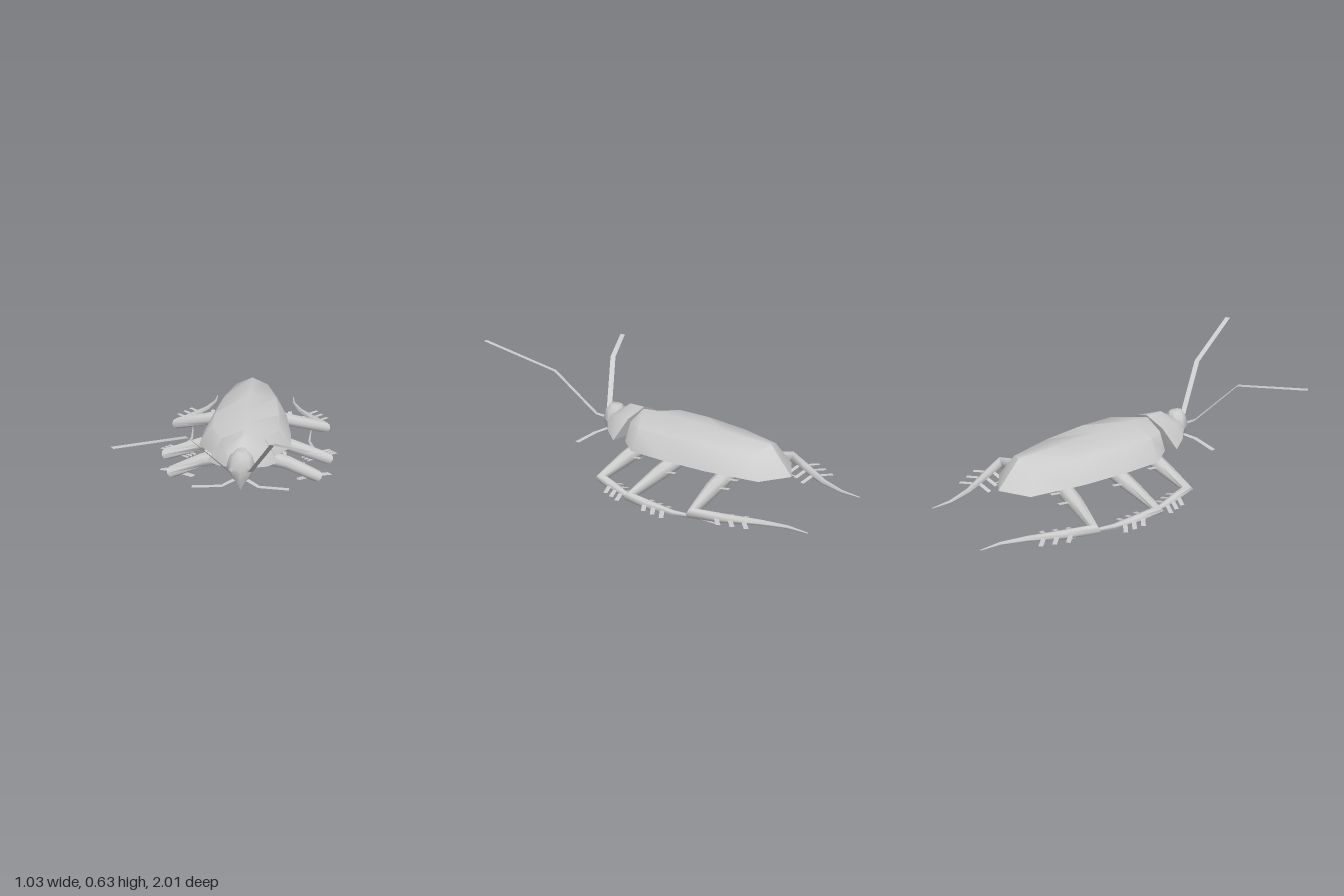
import * as THREE from 'three';
import { toCreasedNormals } from 'three/addons/utils/BufferGeometryUtils.js';

const CX = 0.025; // the body's midline
const V = (x, y, z) => new THREE.Vector3(x, y, z);
const solid = new THREE.MeshStandardMaterial({ color: 0xcccccc });
const thin = new THREE.MeshStandardMaterial({ color: 0xcccccc, side: THREE.DoubleSide });

function add(parent, name, geometry, material = solid) {
  const mesh = new THREE.Mesh(geometry, material);
  mesh.name = name;
  parent.add(mesh);
}

// Skin over closed rings of points, capped at both ends
function loft(rings, crease) {
  const n = rings[0].length;
  const index = [];
  for (let i = 0; i < rings.length - 1; i++) {
    for (let j = 0; j < n; j++) {
      const a = i * n + j, b = i * n + (j + 1) % n;
      index.push(a, a + n, b, b, a + n, b + n);
    }
  }
  const last = (rings.length - 1) * n;
  for (let j = 1; j < n - 1; j++) {
    index.push(0, j, j + 1, last, last + j + 1, last + j);
  }
  const g = new THREE.BufferGeometry().setFromPoints(rings.flat());
  g.setIndex(index);
  return toCreasedNormals(g, crease);
}

// Six-sided shell section: low edge, shoulder and ridge, mirrored, with a floor point
function shellRing([zEdge, yEdge, wEdge, zMid, yMid, wMid, zTop, yTop, zFloor, yFloor]) {
  return [
    V(CX, yFloor, zFloor), V(CX + wEdge, yEdge, zEdge), V(CX + wMid, yMid, zMid),
    V(CX, yTop, zTop), V(CX - wMid, yMid, zMid), V(CX - wEdge, yEdge, zEdge),
  ];
}

// Tapering round limb through points, mitred at the bends
function limb(points, radii, sides = 8) {
  const rings = points.map((p, i) => {
    const before = points[Math.max(i - 1, 0)], after = points[Math.min(i + 1, points.length - 1)];
    const dirIn = p.clone().sub(before).normalize(), dirOut = after.clone().sub(p).normalize();
    const t = dirIn.add(dirOut).normalize();
    const u = V(0, 1, 0).addScaledVector(t, -t.y).normalize();
    const v = u.clone().cross(t);
    return Array.from({ length: sides }, (_, j) => {
      const a = (j / sides) * Math.PI * 2;
      return p.clone().addScaledVector(u, Math.cos(a) * radii[i]).addScaledVector(v, Math.sin(a) * radii[i]);
    });
  });
  return loft(rings, 0.9);
}

// Flat strip along points, its width lying level
function ribbon(points, width) {
  const verts = [], index = [];
  points.forEach((p, i) => {
    const t = points[Math.min(i + 1, points.length - 1)].clone().sub(points[Math.max(i - 1, 0)]);
    const w = V(t.z, 0, -t.x).normalize().multiplyScalar(width / 2);
    verts.push(p.clone().add(w), p.clone().sub(w));
    if (i) index.push(2 * i - 2, 2 * i - 1, 2 * i, 2 * i, 2 * i - 1, 2 * i + 1);
  });
  const g = new THREE.BufferGeometry().setFromPoints(verts);
  g.setIndex(index);
  g.computeVertexNormals();
  return g;
}

// Leg paths as [distance from midline, y, z]: hip, mid thigh, knee, shin, ankle, toe, tip
const LEGS = {
  front: [[0.05, 0.2, 0.08], [0.22, 0.16, 0.085], [0.375, 0.1, 0.11], [0.365, 0.07, 0.04],
    [0.35, 0.035, -0.05], [0.33, 0.015, -0.15], [0.305, 0.008, -0.25]],
  middle: [[0.05, 0.2, -0.17], [0.24, 0.15, -0.15], [0.435, 0.09, -0.13], [0.405, 0.065, -0.22],
    [0.36, 0.04, -0.34], [0.335, 0.045, -0.45], [0.345, 0.055, -0.6]],
  hind: [[0.05, 0.2, -0.46], [0.24, 0.16, -0.475], [0.425, 0.115, -0.5], [0.36, 0.105, -0.63],
    [0.28, 0.1, -0.78], [0.24, 0.1, -0.9], [0.235, 0.1, -1]],
};
const LEG_RADII = [0.045, 0.037, 0.03, 0.023, 0.014, 0.008, 0.003];

function leg(name, path, side) {
  const group = new THREE.Group();
  group.name = name;
  const pts = path.map(([d, y, z]) => V(CX + side * d, y, z));
  add(group, 'limb', limb(pts, LEG_RADII));
  // Spines on both sides of the shin
  const [knee, ankle] = [pts[2], pts[4]];
  const along = ankle.clone().sub(knee).normalize();
  const out = V(-along.z, 0, along.x).normalize().multiplyScalar(side);
  for (const [t, s] of [[0.35, 1], [0.55, 1], [0.75, 1], [0.3, -1], [0.5, -1], [0.7, -1]]) {
    const root = knee.clone().lerp(ankle, t);
    const tip = root.clone().addScaledVector(out, s * 0.085).addScaledVector(along, 0.025);
    tip.y += s * 0.012 - 0.01;
    add(group, 'shinSpine', ribbon([root, tip], 0.022), thin);
  }
  // Spines behind the thigh
  for (const t of [0.5, 0.9]) {
    const root = pts[0].clone().lerp(pts[1], t);
    add(group, 'thighSpine', ribbon([root, root.clone().add(V(0, 0.015, -0.09))], 0.022), thin);
  }
  return group;
}

export function createModel() {
  const model = new THREE.Group();
  model.name = 'insect';

  // Folded wing cover with a flat underside and a pointed tail
  add(model, 'wingCover', loft([
    [0.14, 0.22, 0.16, 0.145, 0.31, 0.11, 0.15, 0.35, 0.14, 0.22],
    [0.03, 0.22, 0.238, 0.04, 0.32, 0.17, 0.05, 0.357, 0.03, 0.22],
    [-0.15, 0.22, 0.232, -0.15, 0.325, 0.17, -0.15, 0.357, -0.15, 0.22],
    [-0.4, 0.22, 0.205, -0.39, 0.325, 0.145, -0.38, 0.357, -0.4, 0.22],
    [-0.67, 0.22, 0.145, -0.61, 0.325, 0.09, -0.64, 0.355, -0.76, 0.22],
  ].map(shellRing), 0.85));

  // Neck shield
  add(model, 'neckShield', loft([
    [0.35, 0.25, 0.065, 0.33, 0.29, 0.055, 0.29, 0.325, 0.33, 0.23],
    [0.29, 0.23, 0.125, 0.27, 0.31, 0.085, 0.24, 0.36, 0.29, 0.22],
    [0.205, 0.215, 0.178, 0.165, 0.32, 0.105, 0.145, 0.362, 0.18, 0.22],
  ].map(shellRing), 0.85));

  // Head tapering down to the jaw
  const headLevels = [[0.335, 0.025, 0.34, 0.04], [0.31, 0.055, 0.345, 0.05], [0.255, 0.07, 0.345, 0.065],
    [0.21, 0.05, 0.355, 0.045], [0.15, 0.004, 0.385, 0.004]];
  add(model, 'head', loft(headLevels.map(([y, w, z, d]) =>
    Array.from({ length: 8 }, (_, j) => {
      const a = (j / 8) * Math.PI * 2;
      return V(CX + w * Math.cos(a), y, z - d * Math.sin(a));
    }).reverse()
  ).map((ring) => ring.reverse()), 0.9));

  // Antennae, each held at its own angle
  add(model, 'leftAntenna', ribbon([V(0.055, 0.26, 0.36), V(0.075, 0.27, 0.44),
    V(0.185, 0.5, 0.63), V(0.34, 0.635, 1)], 0.028), thin);
  add(model, 'rightAntenna', ribbon([V(-0.005, 0.26, 0.36), V(-0.025, 0.27, 0.44),
    V(-0.205, 0.498, 0.57), V(-0.51, 0.525, 0.77)], 0.028), thin);

  for (const [label, side] of [['left', 1], ['right', -1]]) {
    // Mouth feelers
    add(model, label + 'Feeler', ribbon([V(CX + side * 0.02, 0.2, 0.37), V(CX + side * 0.09, 0.18, 0.415),
      V(CX + side * 0.235, 0.17, 0.412)], 0.026), thin);
    for (const [pair, path] of Object.entries(LEGS)) {
      model.add(leg(label + pair[0].toUpperCase() + pair.slice(1) + 'Leg', path, side));
    }
  }
  return model;
}
